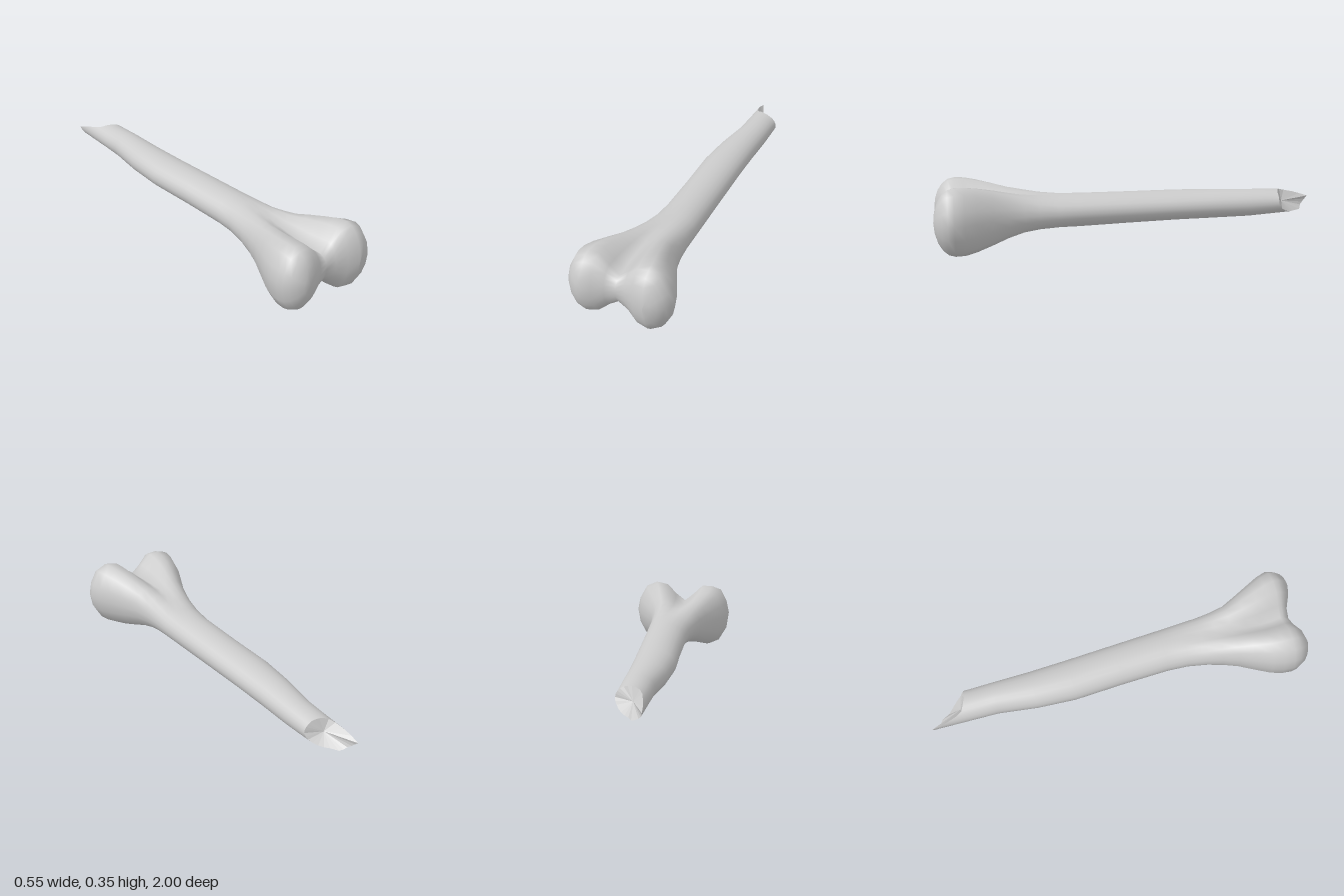
import * as THREE from 'three';
import { mergeVertices } from 'three/addons/utils/BufferGeometryUtils.js';

const N = 24; // points around each cross-section

// Two-lobed outline of the joint end, right to left: [u, upper v, lower v]
const LOBES = [
  [1, 0.03, 0.03], [0.95, 0.42, -0.4], [0.8, 0.85, -0.8], [0.58, 1, -1],
  [0.36, 0.93, -0.95], [0.16, 0.62, -0.62], [-0.03, 0.38, -0.42], [-0.22, 0.62, -0.62],
  [-0.42, 0.92, -0.9], [-0.62, 0.91, -0.99], [-0.82, 0.8, -0.85], [-0.95, 0.4, -0.5],
  [-1, 0.03, 0.03],
];

// Sections along the bone: [z, xMin, xMax, yMin, yMax, lobe blend]
const SECTIONS = [
  [-0.76, -0.1, 0.061, 0.122, 0.252, 0],
  [-0.65, -0.1, 0.065, 0.115, 0.256, 0],
  [-0.45, -0.125, 0.07, 0.11, 0.26, 0],
  [-0.25, -0.135, 0.08, 0.108, 0.263, 0],
  [0, -0.12, 0.095, 0.105, 0.266, 0],
  [0.25, -0.11, 0.11, 0.1, 0.27, 0],
  [0.36, -0.115, 0.117, 0.098, 0.274, 0.06],
  [0.46, -0.132, 0.122, 0.09, 0.283, 0.2],
  [0.54, -0.152, 0.13, 0.076, 0.297, 0.38],
  [0.62, -0.178, 0.146, 0.055, 0.311, 0.58],
  [0.7, -0.215, 0.185, 0.032, 0.329, 0.78],
  [0.78, -0.252, 0.226, 0.012, 0.344, 0.93],
  [0.84, -0.27, 0.256, 0.003, 0.353, 1],
  [0.89, -0.275, 0.272, 0.004, 0.355, 1],
];

// How far back each rim point of the fracture reaches
const RIM_Z = [
  -0.8, -0.8, -0.8, -0.8, -0.8, -0.805, -0.81, -0.82, -0.83, -0.86, -0.91, -0.955,
  -1, -0.985, -0.97, -0.955, -0.95, -0.94, -0.9, -0.88, -0.86, -0.84, -0.82, -0.81,
];

// One cross-section: an ellipse blended towards the two-lobed outline
function ring([z, x0, x1, y0, y1, blend]) {
  const points = [];
  for (let i = 0; i < N; i++) {
    const a = (i / N) * Math.PI * 2;
    const lobe = LOBES[i <= N / 2 ? i : N - i];
    const u = THREE.MathUtils.lerp(Math.cos(a), lobe[0], blend);
    const v = THREE.MathUtils.lerp(Math.sin(a), lobe[i <= N / 2 ? 1 : 2], blend);
    points.push(new THREE.Vector3(
      (x0 + x1) / 2 + (u * (x1 - x0)) / 2, (y0 + y1) / 2 + (v * (y1 - y0)) / 2, z));
  }
  return points;
}

// Rounds the joint end off by shrinking its outline onto a line through both lobes
function capRing(outline, angle) {
  const s = Math.cos(angle);
  return outline.map((p) => {
    const cx = THREE.MathUtils.clamp(p.x, -0.16, 0.158);
    const end = 0.945 + 0.05 * THREE.MathUtils.smoothstep(Math.abs(cx), 0.01, 0.16);
    return new THREE.Vector3(
      cx + (p.x - cx) * s, 0.183 + (p.y - 0.183) * s, p.z + (end - p.z) * Math.sin(angle));
  });
}

function loft(rings) {
  const index = [];
  for (let j = 0; j < rings.length - 1; j++) {
    for (let i = 0; i < N; i++) {
      const a = j * N + i, b = j * N + ((i + 1) % N);
      index.push(a, b, b + N, a, b + N, a + N);
    }
  }
  let geometry = new THREE.BufferGeometry().setFromPoints(rings.flat());
  geometry.setIndex(index);
  geometry = mergeVertices(geometry, 1e-4);
  geometry.computeVertexNormals();
  return geometry;
}

export function createModel() {
  const group = new THREE.Group();
  group.name = 'brokenBone';

  // Shaft flaring into the double-knuckled joint
  const rim = ring([0, -0.1, 0.06, 0.13, 0.25, 0]);
  rim.forEach((p, i) => { p.z = RIM_Z[i]; });
  const rings = [rim, ...SECTIONS.map(ring)];
  const outline = rings[rings.length - 1];
  for (let k = 1; k <= 5; k++) rings.push(capRing(outline, (k / 5) * Math.PI / 2));
  const bone = new THREE.Mesh(loft(rings), new THREE.MeshStandardMaterial({ color: 0xcccccc }));
  bone.name = 'shaftAndJoint';
  group.add(bone);

  // Jagged fracture face, sunk in the middle
  const centre = new THREE.Vector3(-0.03, 0.185, -0.835);
  const corners = [];
  for (let i = 0; i < N; i++) corners.push(centre, rim[(i + 1) % N], rim[i]);
  const faceGeometry = new THREE.BufferGeometry().setFromPoints(corners);
  faceGeometry.computeVertexNormals();
  const face = new THREE.Mesh(faceGeometry, new THREE.MeshStandardMaterial({
    color: 0xcccccc, flatShading: true, side: THREE.DoubleSide,
  }));
  face.name = 'fractureFace';
  group.add(face);

  return group;
}
